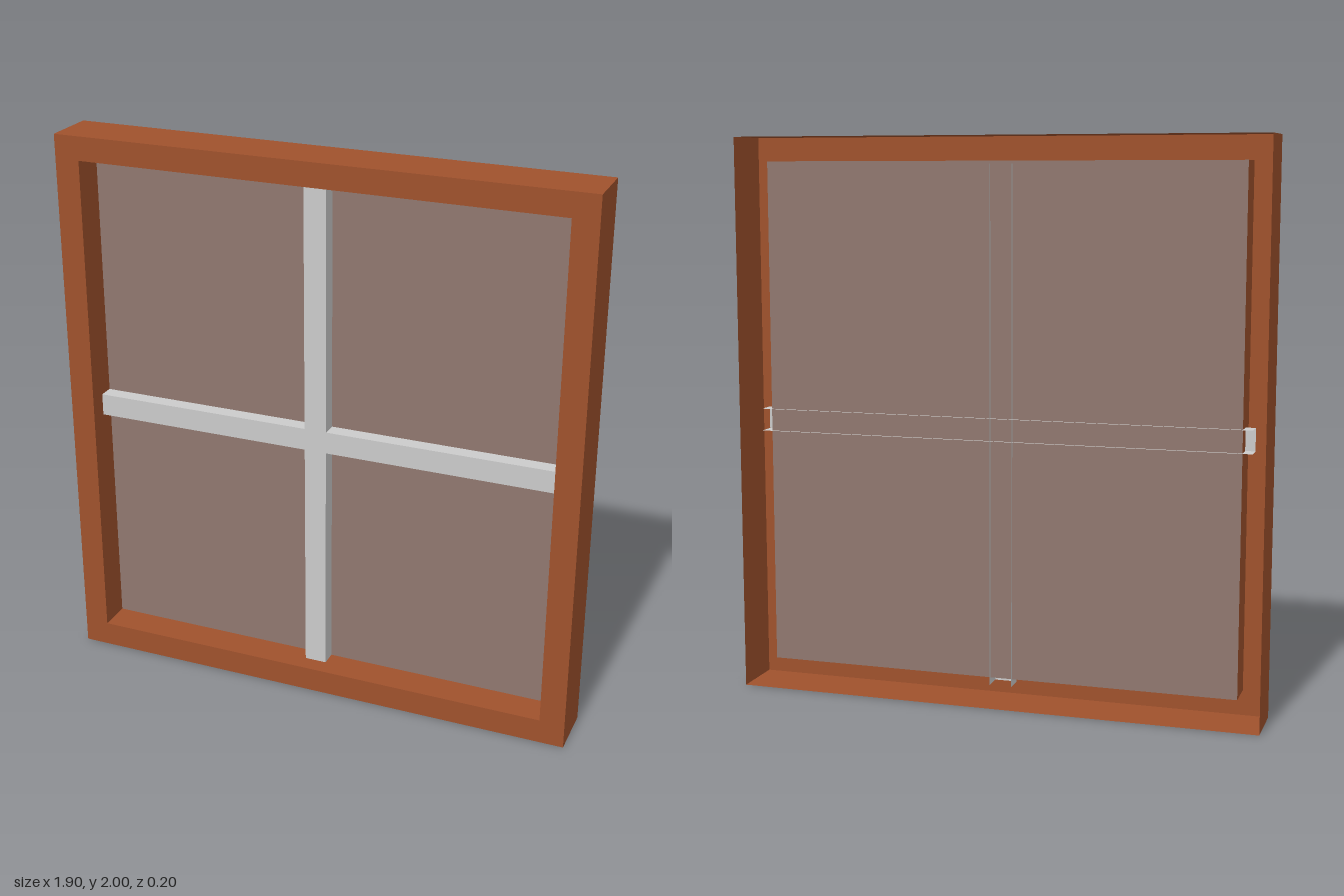
import * as THREE from 'three';

const paint = (color) => new THREE.MeshStandardMaterial({ color, side: THREE.DoubleSide, flatShading: true });

function add(parent, name, geometry, material) {
  const mesh = new THREE.Mesh(geometry, material);
  mesh.name = name;
  parent.add(mesh);
  return mesh;
}

// Corners of a rectangle, counter-clockwise
const corners = (x0, y0, x1, y1) => [[x0, y0], [x1, y0], [x1, y1], [x0, y1]].map(([x, y]) => new THREE.Vector2(x, y));

// Open sleeve: sweeps a closed outline from z0 to z1 without caps
function sleeve(points, z0, z1) {
  const positions = [];
  points.forEach((a, i) => {
    const b = points[(i + 1) % points.length];
    positions.push(
      a.x, a.y, z0, b.x, b.y, z0, b.x, b.y, z1,
      a.x, a.y, z0, b.x, b.y, z1, a.x, a.y, z1
    );
  });
  const geometry = new THREE.BufferGeometry();
  geometry.setAttribute('position', new THREE.Float32BufferAttribute(positions, 3));
  geometry.computeVertexNormals();
  return geometry;
}

// Channel bar along x: a front face and two flanges, open at the back and ends
function channelBar(name, length, width, front, back, material) {
  const bar = new THREE.Group();
  bar.name = name;
  add(bar, name + 'Face', new THREE.PlaneGeometry(length, width), material).position.z = front;
  for (const side of [1, -1]) {
    const flange = add(bar, name + 'Flange', new THREE.PlaneGeometry(length, front - back), material);
    flange.rotation.x = -side * Math.PI / 2;
    flange.position.set(0, side * width / 2, (front + back) / 2);
  }
  return bar;
}

export function createModel() {
  const model = new THREE.Group();
  model.name = 'window';
  const wood = paint(0xa0522d);
  const glass = paint(0x90786f);
  const grey = paint(0xcccccc);

  const outer = corners(-0.95, 0, 0.95, 2);
  const inner = corners(-0.86, 0.09, 0.86, 1.915);
  const frontZ = 0.1, backZ = -0.1, paneZ = -0.02;

  // Hollow frame: front ring, outer walls and the reveal down to the pane
  const frame = new THREE.Group();
  frame.name = 'frame';
  const ring = new THREE.Shape(outer);
  ring.holes.push(new THREE.Path(inner));
  add(frame, 'frameFront', new THREE.ShapeGeometry(ring), wood).position.z = frontZ;
  add(frame, 'frameOuterWalls', sleeve(outer, backZ, frontZ), wood);
  add(frame, 'frameReveal', sleeve([...inner].reverse(), paneZ, frontZ), wood);
  model.add(frame);

  // Pane
  add(model, 'pane', new THREE.ShapeGeometry(new THREE.Shape(inner)), glass).position.z = paneZ;

  // Crossing glazing bars whose flanges poke through the pane
  const crossbar = channelBar('horizontalBar', 1.79, 0.08, 0.035, -0.03, grey);
  crossbar.position.y = 0.985;
  const upright = channelBar('verticalBar', 1.84, 0.08, 0.037, -0.03, grey);
  upright.rotation.z = Math.PI / 2;
  upright.position.set(-0.015, 0.985, 0);
  model.add(crossbar, upright);

  return model;
}
